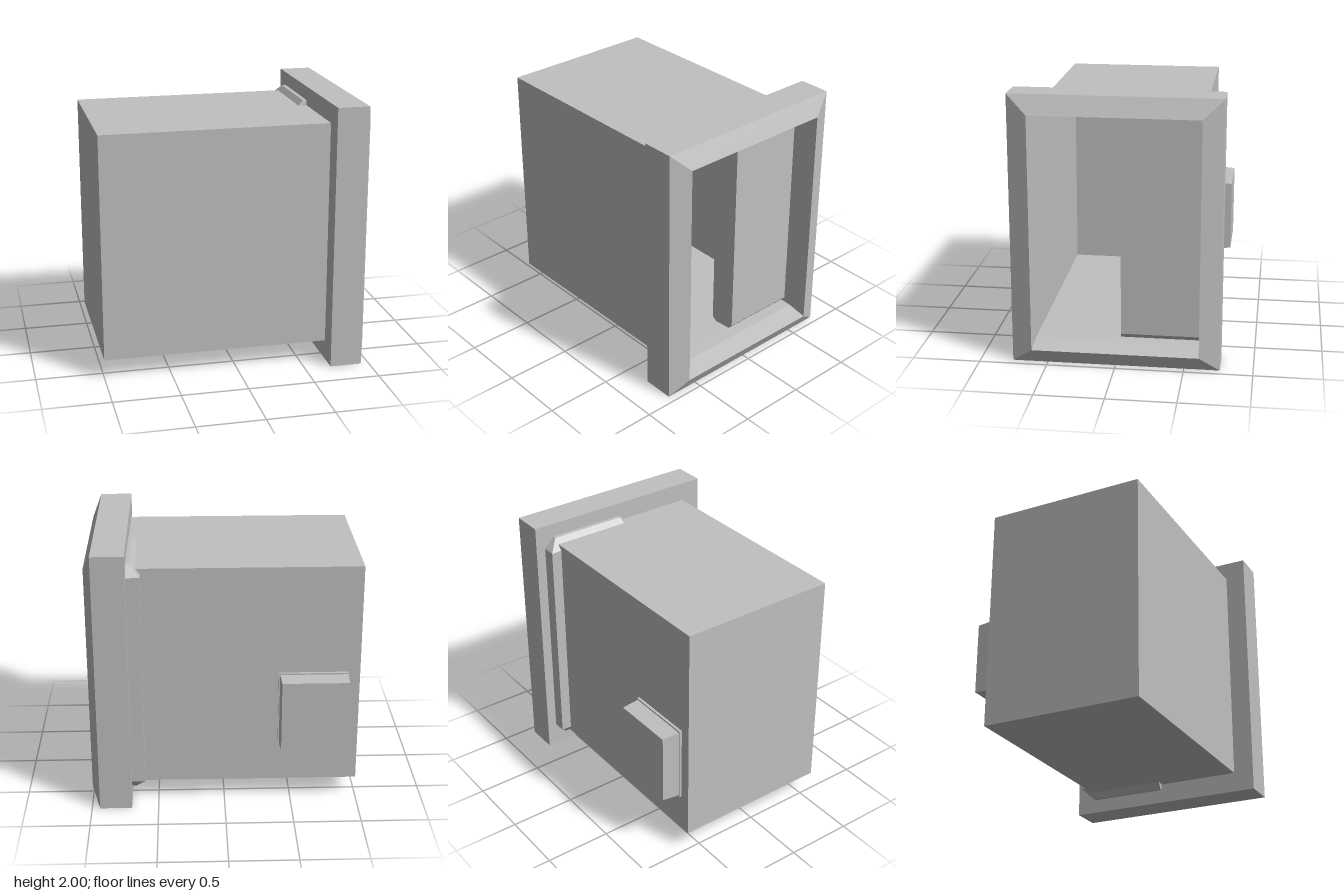
import * as THREE from 'three';

const grey = new THREE.MeshStandardMaterial({ color: 0xc0c0c0, side: THREE.DoubleSide });
grey.name = 'plain grey';

// Skins four-cornered rings, with optional flat ends
function loft(name, rings, capStart, capEnd) {
  const pos = [];
  const quad = (a, b, c, d) => [a, b, c, a, c, d].forEach((p) => pos.push(...p));
  for (let i = 0; i < rings.length - 1; i++) {
    for (let j = 0; j < 4; j++) {
      const k = (j + 1) % 4;
      quad(rings[i][j], rings[i][k], rings[i + 1][k], rings[i + 1][j]);
    }
  }
  const last = rings[rings.length - 1];
  if (capStart) quad(rings[0][3], rings[0][2], rings[0][1], rings[0][0]);
  if (capEnd) quad(...last);
  const geo = new THREE.BufferGeometry();
  geo.setAttribute('position', new THREE.Float32BufferAttribute(pos, 3));
  geo.computeVertexNormals();
  const mesh = new THREE.Mesh(geo, grey);
  mesh.name = name;
  return mesh;
}

// Rectangles across each axis, counter-clockwise seen from its positive end
const ringX = (x, y0, y1, z) => [[x, y0, z], [x, y0, -z], [x, y1, -z], [x, y1, z]];
const ringY = (y, x0, x1, z0, z1, slant = 0) =>
  [[x0, y, z1], [x1, y, z1 - slant], [x1, y, z0], [x0, y, z0]];
const ringZ = (z, x0, x1, y0, y1) => [[x0, y0, z], [x1, y0, z], [x1, y1, z], [x0, y1, z]];

export function createModel() {
  const model = new THREE.Group();
  model.name = 'container';

  // Hollow body, open toward the frame
  model.add(loft('body', [
    ringX(-1, 0.15, 1.855, 0.605),
    ringX(0.7, 0.15, 1.855, 0.605),
  ], true, false));

  // Door frame with sloping face and inner lining
  model.add(loft('doorFrame', [
    ringX(0.7, 0.15, 1.855, 0.605),
    ringX(0.7, 0, 2, 0.76),
    ringX(0.94, 0, 2, 0.76),
    ringX(1, 0.11, 1.86, 0.61),
    ringX(0.85, 0.145, 1.855, 0.605),
    ringX(0.7, 0.15, 1.855, 0.605),
  ], false, false));

  // Half-open sliding door with chamfered top and bottom
  model.add(loft('slidingDoor', [
    ringY(0.105, 0.67, 0.72, -0.61, -0.015),
    ringY(0.185, 0.6, 0.79, -0.685, 0, 0.02),
    ringY(1.815, 0.6, 0.79, -0.685, 0, 0.02),
    ringY(1.895, 0.67, 0.72, -0.61, -0.015),
  ], true, true));

  // Tapered box on the back wall
  model.add(loft('backBox', [
    ringZ(-0.76, -0.905, -0.415, 0.475, 1.015),
    ringZ(-0.6, -0.915, -0.407, 0.46, 1.025),
  ], true, true));

  // Mounting plate behind the box
  const plate = new THREE.Mesh(new THREE.BoxGeometry(0.52, 0.59, 0.025), grey);
  plate.name = 'mountingPlate';
  plate.position.set(-0.66, 0.74, -0.6125);
  model.add(plate);

  return model;
}
